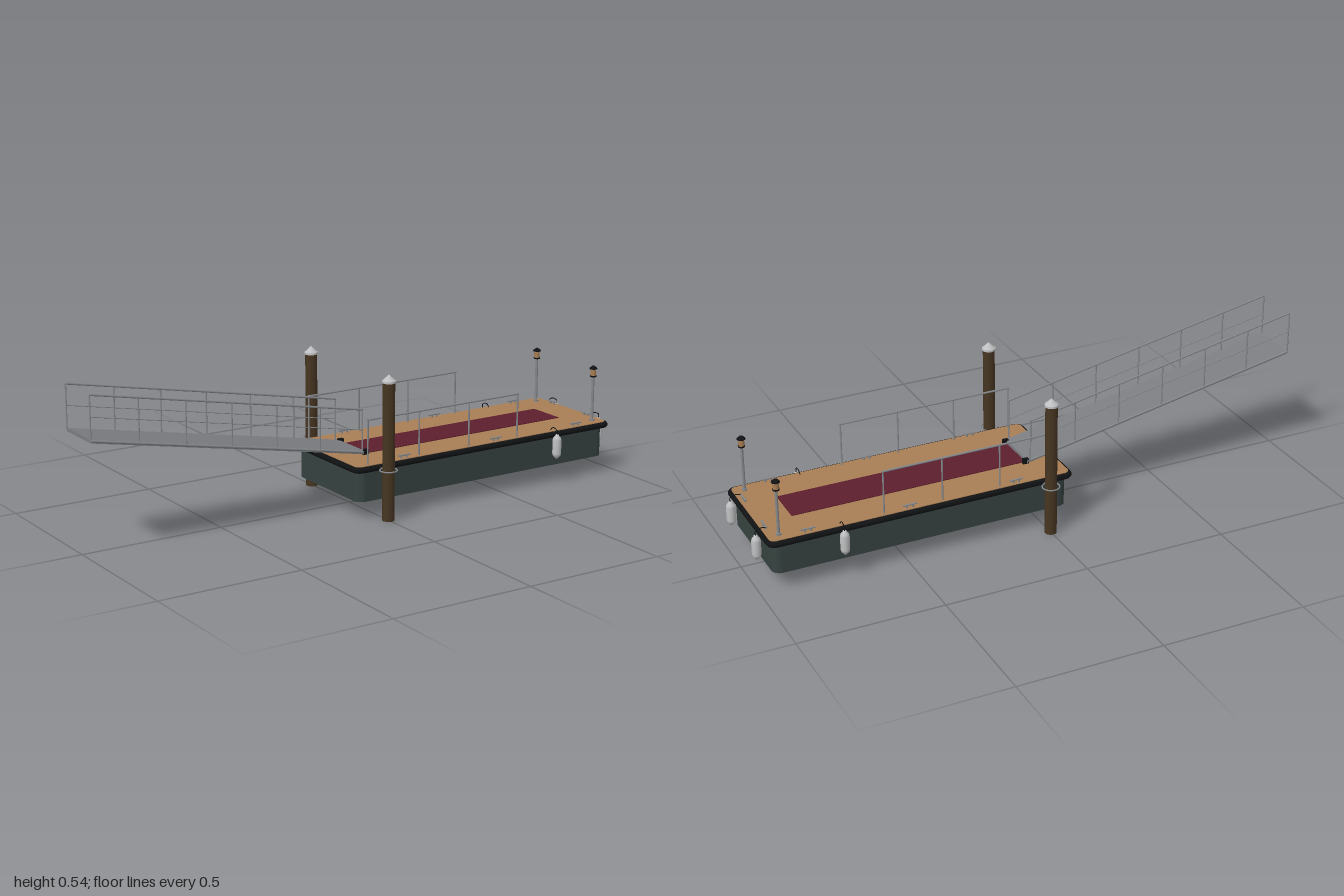
import * as THREE from 'three';

const mat = (name, color) => Object.assign(new THREE.MeshStandardMaterial({ color }), { name });
const M = {
  hull: mat('slate hull', 0x36423f),
  black: mat('black rubber', 0x101214),
  wood: mat('tan decking', 0xa87d54),
  carpet: mat('dark red carpet', 0x5c1e2c),
  pile: mat('brown timber', 0x463521),
  grey: mat('gangway grey', 0x7c7d81),
  steel: mat('steel', 0x85888b),
  pale: mat('pale grey', 0xbfc0c1),
};
const V = (x, y, z) => new THREE.Vector3(x, y, z);

export function createModel() {
  const root = new THREE.Group();
  root.name = 'floatingDock';

  const add = (name, geo, material, x = 0, y = 0, z = 0) => {
    const m = new THREE.Mesh(geo, material);
    m.name = name;
    m.position.set(x, y, z);
    root.add(m);
    return m;
  };
  const box = (name, w, h, d, material, x, y, z) => add(name, new THREE.BoxGeometry(w, h, d), material, x, y, z);
  // Round bar between two points
  const rod = (name, a, b, r, material) => {
    const m = add(name, new THREE.CylinderGeometry(r, r, a.distanceTo(b), 8), material);
    m.position.copy(a).add(b).multiplyScalar(0.5);
    m.quaternion.setFromUnitVectors(V(0, 1, 0), b.clone().sub(a).normalize());
    return m;
  };
  const lathe = (name, pts, material, x, y, z, seg = 20) =>
    add(name, new THREE.LatheGeometry(pts.map(p => new THREE.Vector2(p[0], p[1])), seg), material, x, y, z);

  // Rounded rectangle, centred on the pontoon
  const CX = 0.433;
  const roundRect = (hx, hz, r) => {
    const s = new THREE.Shape();
    s.moveTo(hx, -hz + r);
    s.lineTo(hx, hz - r);
    s.absarc(hx - r, hz - r, r, 0, Math.PI / 2);
    s.absarc(-hx + r, hz - r, r, Math.PI / 2, Math.PI);
    s.absarc(-hx + r, -hz + r, r, Math.PI, Math.PI * 1.5);
    s.absarc(hx - r, -hz + r, r, Math.PI * 1.5, Math.PI * 2);
    return s;
  };
  const slab = (name, hx, hz, r, y0, y1, material) => {
    const g = new THREE.ExtrudeGeometry(roundRect(hx, hz, r), { depth: y1 - y0, bevelEnabled: false, curveSegments: 6 });
    g.rotateX(-Math.PI / 2);
    return add(name, g, material, CX, y0, 0);
  };

  // Pontoon, deck and carpet
  slab('hull', 0.518, 0.188, 0.03, 0.06, 0.17, M.hull);
  slab('deck', 0.526, 0.194, 0.02, 0.168, 0.185, M.wood);
  box('carpet', 0.83, 0.003, 0.138, M.carpet, 0.427, 0.186, 0);

  // Rubber bumper running round the deck edge
  const path = new THREE.CurvePath();
  const corners = roundRect(0.527, 0.196, 0.02).getPoints(6).map(p => V(p.x, 0, p.y));
  corners.forEach((p, i) => {
    const q = corners[(i + 1) % corners.length];
    if (p.distanceTo(q) > 1e-5) path.add(new THREE.LineCurve3(p, q));
  });
  add('bumper', new THREE.TubeGeometry(path, 500, 0.0105, 10, true), M.black, CX, 0.173, 0);

  // Cleat with two feet, lying along x or z
  const cleat = (x, z, alongZ) => {
    const d = alongZ ? V(0, 0, 1) : V(1, 0, 0);
    const c = V(x, 0.195, z);
    const at = (t, dy = 0) => c.clone().addScaledVector(d, t).add(V(0, dy, 0));
    rod('cleatBar', at(-0.024), at(0.024), 0.003, M.steel);
    for (const t of [-0.01, 0.01]) rod('cleatFoot', at(t, -0.011), at(t), 0.0035, M.steel);
  };

  // Fender hung from a rope that crosses the bumper
  const fender = (x, z, from, over) => {
    lathe('fender', [[0, 0], [0.006, 0], [0.007, 0.004], [0.013, 0.009], [0.0155, 0.018], [0.0155, 0.066],
      [0.013, 0.075], [0.007, 0.08], [0.006, 0.085], [0, 0.085]], M.pale, x, 0.092, z);
    const curve = new THREE.CatmullRomCurve3([from, over, V(x, 0.19, z), V(x, 0.175, z)]);
    add('fenderRope', new THREE.TubeGeometry(curve, 16, 0.0016, 6), M.black);
  };

  for (const s of [1, -1]) {
    // Mooring pile with cap and guide hoop
    const pz = 0.237 * s;
    add('pile', new THREE.CylinderGeometry(0.0205, 0.0205, 0.47, 20), M.pile, 0, 0.235, pz);
    add('pileCapRim', new THREE.CylinderGeometry(0.023, 0.023, 0.007, 20), M.pale, 0, 0.4715, pz);
    add('pileCap', new THREE.ConeGeometry(0.022, 0.021, 20), M.pale, 0, 0.4855, pz);
    add('pileHoop', new THREE.TorusGeometry(0.029, 0.0025, 8, 24), M.steel, 0, 0.172, pz).rotation.x = Math.PI / 2;
    box('hoopBracket', 0.02, 0.005, 0.02, M.steel, 0, 0.172, 0.2 * s);

    // Deck railing
    const rz = 0.182 * s;
    const xs = [-0.045, 0.16, 0.365, 0.57];
    rod('deckRail', V(xs[0] - 0.003, 0.337, rz), V(xs[3] + 0.003, 0.337, rz), 0.0035, M.steel);
    for (const x of xs) rod('deckRailPost', V(x, 0.183, rz), V(x, 0.337, rz), 0.003, M.steel);

    // Lamp post
    const lz = 0.16 * s;
    add('lampFoot', new THREE.CylinderGeometry(0.009, 0.009, 0.006, 16), M.steel, 0.92, 0.188, lz);
    add('lampPost', new THREE.CylinderGeometry(0.005, 0.005, 0.16, 12), M.steel, 0.92, 0.265, lz);
    add('lampBase', new THREE.CylinderGeometry(0.012, 0.011, 0.005, 16), M.black, 0.92, 0.347, lz);
    add('lampGlass', new THREE.CylinderGeometry(0.01, 0.01, 0.026, 16), M.wood, 0.92, 0.362, lz);
    lathe('lampHood', [[0, 0], [0.0145, 0], [0.0135, 0.003], [0.008, 0.008], [0.004, 0.011], [0, 0.011]],
      M.black, 0.92, 0.373, lz, 16);

    // Cleats and fenders
    for (const x of [0.1, 0.48, 0.83]) cleat(x, rz, false);
    cleat(0.945, 0.096 * s, true);
    fender(0.72, 0.216 * s, V(0.72, 0.185, 0.178 * s), V(0.72, 0.197, 0.192 * s));
    fender(0.983, 0.121 * s, V(0.945, 0.194, 0.118 * s), V(0.962, 0.199, 0.12 * s));

    // Gangway hinge
    box('gangwayHinge', 0.02, 0.018, 0.012, M.black, 0.015, 0.194, 0.077 * s);
  }

  // Sloping gangway
  const x0 = -0.997, x1 = 0.012;
  const yAt = x => 0.2 - 0.194 * x;
  const ramp = new THREE.Shape([[x0, yAt(x0)], [x0, yAt(x0) - 0.011], [x1, yAt(x1) - 0.011], [x1, yAt(x1)]]
    .map(p => new THREE.Vector2(p[0], p[1])));
  add('gangwayDeck', new THREE.ExtrudeGeometry(ramp, { depth: 0.166, bevelEnabled: false }), M.grey, 0, 0, -0.083);

  // Gangway handrails
  for (const s of [1, -1]) {
    const z = 0.083 * s;
    const line = (name, h, r) => rod(name, V(-0.997, yAt(-0.997) + h, z), V(0, yAt(0) + h, z), r, M.steel);
    line('gangwayStringer', -0.004, 0.004);
    line('gangwayMidRail', 0.073, 0.0016);
    line('gangwayHandrail', 0.143, 0.0035);
    for (let i = 0; i < 7; i++) {
      const x = -0.997 + i * 0.166;
      rod('gangwayPost', V(x, yAt(x) - 0.004, z), V(x, yAt(x) + 0.143, z), 0.0026, M.steel);
    }
  }
  return root;
}
